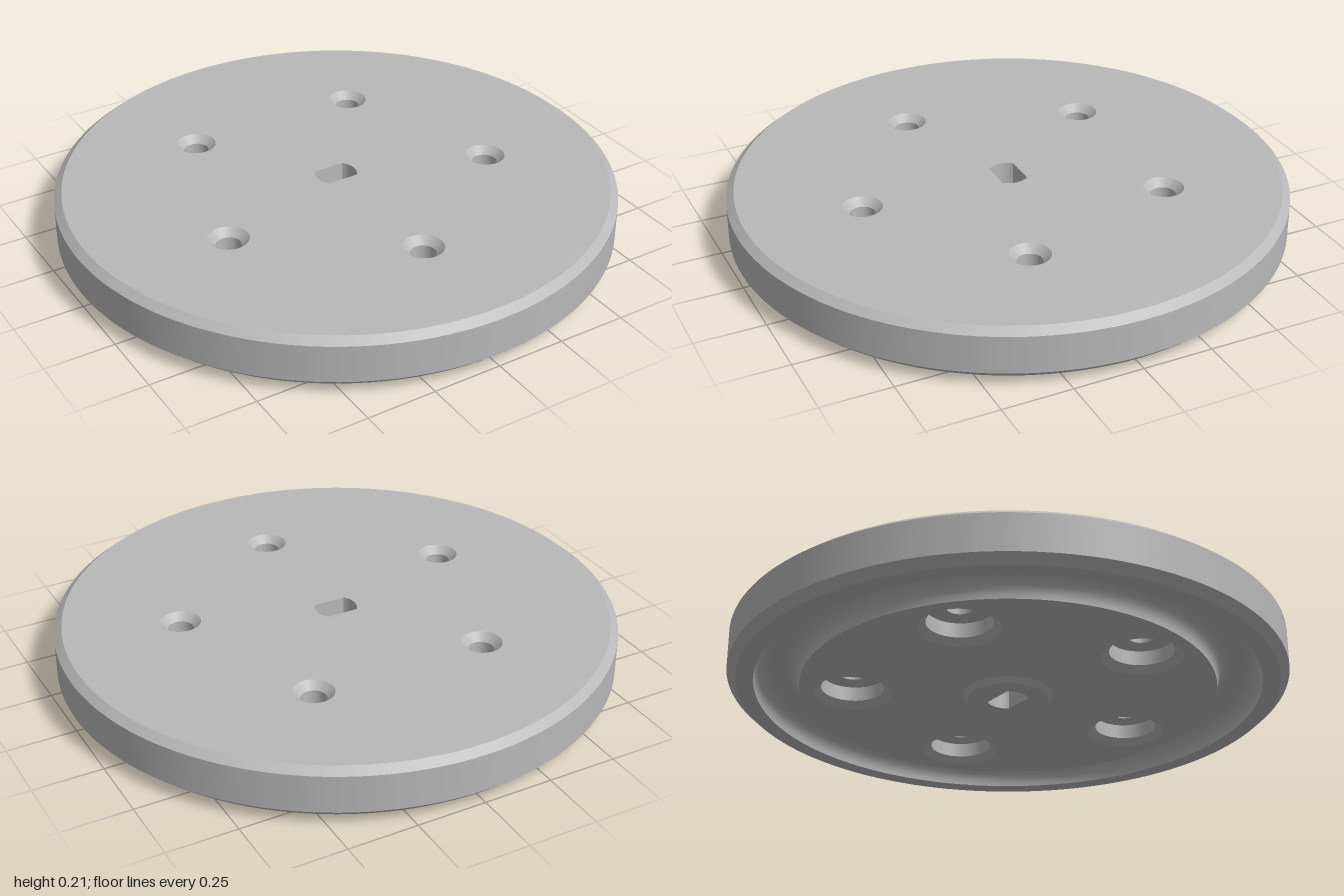
import * as THREE from 'three';

const TOP = 0.21, BASE = 0.02, BOLT_CIRCLE = 0.557;

export function createModel() {
  const grey = new THREE.MeshStandardMaterial({ color: 0xb8b8b8 });
  grey.name = 'grey';
  const model = new THREE.Group();
  model.name = 'wheelDisc';

  const add = (name, geometry, parent = model) => {
    const mesh = new THREE.Mesh(geometry, grey);
    mesh.name = name;
    parent.add(mesh);
    return mesh;
  };

  // One lathe per straight band, so the edges stay sharp
  const bands = (name, profile, segments, parent = model) => {
    for (let i = 0; i < profile.length - 1; i++) {
      const pts = [profile[i], profile[i + 1]].map(([r, y]) => new THREE.Vector2(r, y));
      add(name + (i + 1), new THREE.LatheGeometry(pts, segments), parent);
    }
  };

  const circle = (r, n, cx = 0, cy = 0) => Array.from({ length: n }, (_, i) => {
    const a = (i / n) * Math.PI * 2;
    return new THREE.Vector2(cx + r * Math.sin(a), cy + r * Math.cos(a));
  });

  // Flat face with holes, turned to look up or down
  const face = (name, outline, holes, y, up) => {
    const shape = new THREE.Shape(outline);
    shape.holes = holes.map((h) => new THREE.Path(h));
    const geometry = new THREE.ShapeGeometry(shape);
    geometry.rotateX(up ? -Math.PI / 2 : Math.PI / 2);
    geometry.translate(0, y, 0);
    add(name, geometry);
  };

  // Shaft slot outline: a circle with two flats
  const slot = [];
  const slotRadius = 0.075, flat = Math.asin(0.048 / slotRadius);
  for (const side of [0, Math.PI]) {
    for (let i = 0; i <= 8; i++) {
      const a = side - flat + (2 * flat * i) / 8;
      slot.push(new THREE.Vector2(slotRadius * Math.cos(a), slotRadius * Math.sin(a)));
    }
  }

  const bolts = [0, 1, 2, 3, 4].map((k) => {
    const a = (k * Math.PI * 2) / 5;
    return [BOLT_CIRCLE * Math.sin(a), BOLT_CIRCLE * Math.cos(a)];
  });

  // Chamfered outer rim
  bands('rim', [[0.905, BASE], [0.968, BASE], [1, 0.05], [1, 0.187], [0.972, TOP]], 128);

  // Round groove under the rim
  const groove = [];
  for (let i = 0; i <= 16; i++) {
    const a = Math.PI * (1 - i / 16);
    groove.push(new THREE.Vector2(0.825 + 0.08 * Math.cos(a), BASE + 0.08 * Math.sin(a)));
  }
  add('groove', new THREE.LatheGeometry(groove, 128));

  // Top and bottom faces, and the raised hub below
  face('topFace', circle(0.972, 128),
    [slot, ...bolts.map(([x, z]) => circle(0.072, 48, x, -z))], TOP, true);
  face('bottomFace', circle(0.745, 128),
    [circle(0.162, 64), ...bolts.map(([x, z]) => circle(0.142, 48, x, z))], BASE, false);
  face('hubFace', circle(0.145, 64), [slot], 0, false);
  bands('hubEdge', [[0.145, 0], [0.162, BASE]], 64);

  // Bolt holes: countersunk above, counterbored and chamfered below
  bolts.forEach(([x, z], i) => {
    const hole = new THREE.Group();
    hole.name = 'boltHole' + (i + 1);
    hole.position.set(x, 0, z);
    bands('boltHoleWall', [[0.072, TOP], [0.045, 0.183], [0.045, 0.095],
      [0.113, 0.095], [0.113, 0.042], [0.142, BASE]], 48, hole);
    model.add(hole);
  });

  // Inside wall of the shaft slot
  const wall = [];
  slot.forEach((p, i) => {
    const q = slot[(i + 1) % slot.length];
    const a = [p.x, 0, -p.y], b = [q.x, 0, -q.y];
    const c = [q.x, TOP, -q.y], d = [p.x, TOP, -p.y];
    wall.push(...a, ...c, ...b, ...a, ...d, ...c);
  });
  const slotWall = new THREE.BufferGeometry();
  slotWall.setAttribute('position', new THREE.Float32BufferAttribute(wall, 3));
  slotWall.computeVertexNormals();
  add('shaftSlot', slotWall);

  return model;
}
